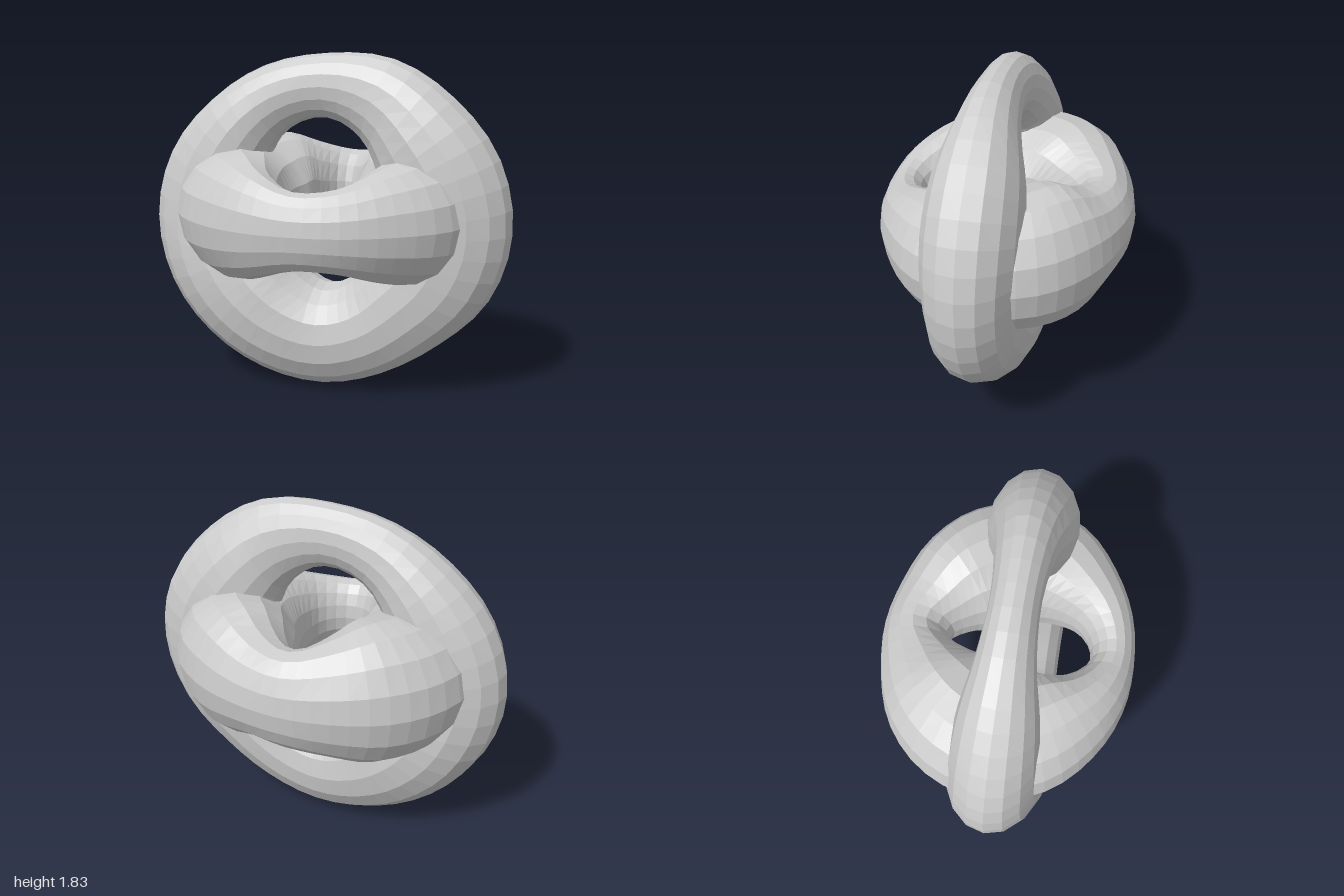
import * as THREE from 'three';

const material = new THREE.MeshStandardMaterial({ color: 0xcccccc, flatShading: true });

// Smooth closed loop through evenly spaced [outer radius, inner radius, half thickness]
function loop(sections) {
  const curve = new THREE.CatmullRomCurve3(sections.map(s => new THREE.Vector3(...s)), true, 'catmullrom', 0.5);
  return u => curve.getPoint(u);
}

// Lopsided ring lying in the local xy plane, with oval cross-sections
function makeRing(name, sections, around = 48, sides = 16) {
  const at = loop(sections);
  const positions = [], index = [];
  for (let i = 0; i < around; i++) {
    const a = (i / around) * Math.PI * 2;
    const { x: outer, y: inner, z: half } = at(i / around);
    for (let j = 0; j < sides; j++) {
      const t = (j / sides) * Math.PI * 2;
      const r = (outer + inner) / 2 + ((outer - inner) / 2) * Math.cos(t);
      positions.push(r * Math.cos(a), r * Math.sin(a), half * Math.sin(t));
      const i2 = (i + 1) % around, j2 = (j + 1) % sides;
      const p = i * sides + j, q = i2 * sides + j;
      const s = i2 * sides + j2, v = i * sides + j2;
      index.push(p, q, s, p, s, v);
    }
  }
  const geometry = new THREE.BufferGeometry();
  geometry.setAttribute('position', new THREE.Float32BufferAttribute(positions, 3));
  geometry.setIndex(index);
  geometry.computeVertexNormals();
  const mesh = new THREE.Mesh(geometry, material);
  mesh.name = name;
  return mesh;
}

export function createModel() {
  const group = new THREE.Group();
  group.name = 'interlockedRings';

  // Upright ring: slim at the top, broad at the bottom (sections every 22.5 degrees from +x)
  const upright = makeRing('uprightRing', [
    [1.0, 0.34, 0.24], [1.0, 0.35, 0.25], [0.97, 0.4, 0.23], [0.955, 0.5, 0.16],
    [0.91, 0.57, 0.125], [0.912, 0.55, 0.145], [0.93, 0.47, 0.2], [0.975, 0.38, 0.23],
    [1.0, 0.33, 0.25], [0.99, 0.28, 0.29], [0.96, 0.27, 0.3], [0.935, 0.3, 0.28],
    [0.918, 0.34, 0.25], [0.893, 0.33, 0.24], [0.9, 0.3, 0.24], [0.965, 0.31, 0.24],
  ]);
  upright.position.set(0, 0.92, 0.03);
  group.add(upright);

  // Level ring: slim at the front, broad at the back and sides (sections from +x towards +z)
  const level = makeRing('levelRing', [
    [0.84, 0.17, 0.35], [0.81, 0.21, 0.33], [0.735, 0.29, 0.28], [0.695, 0.4, 0.215],
    [0.68, 0.44, 0.2], [0.705, 0.34, 0.27], [0.75, 0.2, 0.33], [0.81, 0.13, 0.35],
    [0.84, 0.1, 0.36], [0.82, 0.1, 0.38], [0.77, 0.13, 0.38], [0.71, 0.21, 0.32],
    [0.69, 0.33, 0.27], [0.7, 0.24, 0.29], [0.755, 0.17, 0.37], [0.82, 0.15, 0.37],
  ]);
  level.rotation.x = Math.PI / 2;
  level.position.set(-0.01, 0.98, 0);
  group.add(level);

  return group;
}
